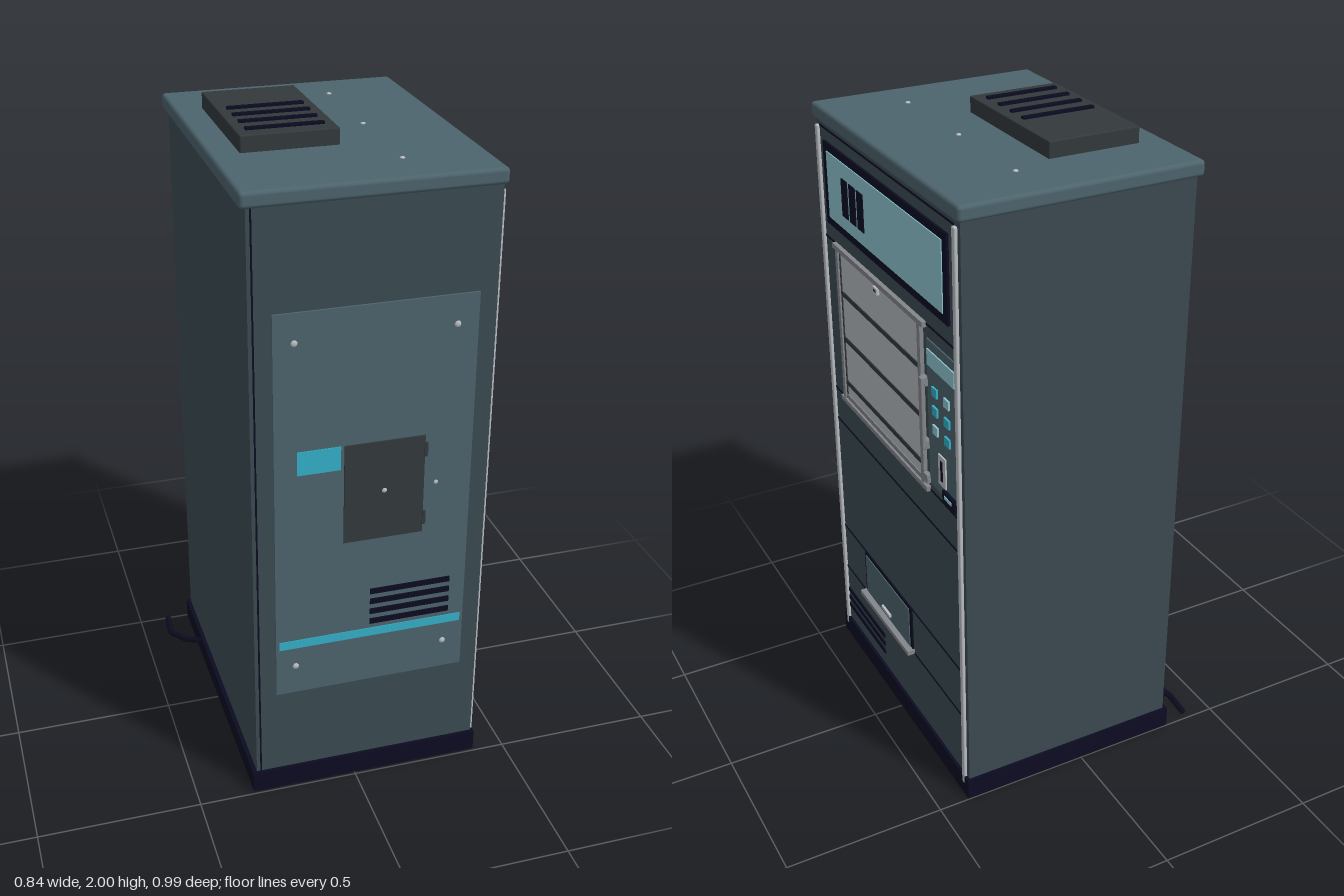
import * as THREE from 'three';
import { RoundedBoxGeometry } from 'three/addons/geometries/RoundedBoxGeometry.js';

const paint = (name, color) => {
  const m = new THREE.MeshStandardMaterial({ color });
  m.name = name;
  return m;
};

export function createModel() {
  const root = new THREE.Group();
  root.name = 'vendingMachine';
  const M = {
    body: paint('slate body', 0x3b4a51),
    panel: paint('teal grey panel', 0x4d646d),
    navy: paint('near black navy', 0x0c0c22),
    charcoal: paint('charcoal', 0x33393c),
    steel: paint('light steel', 0xb9bdc1),
    pane: paint('silver pane', 0xb4babf),
    grey: paint('mid grey trim', 0x82868a),
    sign: paint('pale cyan', 0x8cc6d0),
    cyan: paint('bright cyan', 0x35b1c9),
  };

  // Box given by its limits on each axis; rounded when r is set
  const box = (name, mat, [x0, x1], [y0, y1], [z0, z1], parent = root, r = 0) => {
    const s = [x1 - x0, y1 - y0, z1 - z0];
    const g = r ? new RoundedBoxGeometry(...s, 3, r) : new THREE.BoxGeometry(...s);
    const m = new THREE.Mesh(g, mat);
    m.position.set((x0 + x1) / 2, (y0 + y1) / 2, (z0 + z1) / 2);
    m.name = name;
    parent.add(m);
    return m;
  };
  const group = (name) => {
    const g = new THREE.Group();
    g.name = name;
    root.add(g);
    return g;
  };
  // Small domed rivet whose axis points along x, y or z
  const rivet = (x, y, z, axis, parent, r = 0.008) => {
    const m = new THREE.Mesh(new THREE.SphereGeometry(r, 10, 6), M.steel);
    m.scale[axis] = 0.5;
    m.position.set(x, y, z);
    m.name = 'rivet';
    parent.add(m);
  };

  // Cabinet, plinth and lid
  box('cabinet', M.body, [-0.315, 0.393], [0.06, 1.91], [-0.488, 0.48]);
  box('plinth', M.navy, [-0.328, 0.402], [0, 0.07], [-0.497, 0.49]);
  box('lid', M.panel, [-0.333, 0.405], [1.898, 1.945], [-0.5, 0.49], root, 0.012);
  box('cornerSeam', M.navy, [-0.304, -0.299], [0.07, 1.898], [0.479, 0.4815]);

  // Roof vent housing with slots
  const roof = group('roofVent');
  box('ventHousing', M.charcoal, [-0.25, 0.034], [1.94, 1.993], [-0.298, 0.17], roof, 0.004);
  for (const z of [-0.095, -0.025, 0.045, 0.117])
    box('roofSlot', M.navy, [-0.222, 0.004], [1.99, 2.0], [z - 0.008, z + 0.008], roof);
  for (const z of [-0.34, -0.005, 0.333]) rivet(0.157, 1.946, z, 'y', root);

  // Service panel on the side
  const side = group('servicePanel');
  box('panelPlate', M.panel, [-0.25, 0.34], [0.355, 1.6], [0.479, 0.486], side);
  box('serviceDoor', M.charcoal, [-0.045, 0.195], [0.862, 1.18], [0.484, 0.491], side);
  box('label', M.cyan, [-0.183, -0.055], [1.105, 1.18], [0.484, 0.488], side);
  box('stripe', M.cyan, [-0.24, 0.33], [0.517, 0.545], [0.484, 0.488], side);
  for (let i = 0; i < 4; i++) {
    const y = 0.57 + i * 0.0355;
    box('sideSlot', M.navy, [0.04, 0.29], [y - 0.009, y + 0.009], [0.484, 0.49], side);
  }
  for (const y of [0.91, 1.135])
    box('doorHinge', M.charcoal, [0.193, 0.203], [y - 0.022, y + 0.022], [0.484, 0.494], side);
  for (const x of [-0.19, 0.277]) for (const y of [0.452, 1.512]) rivet(x, y, 0.487, 'z', side, 0.01);
  rivet(0.075, 1.02, 0.491, 'z', side);
  rivet(0.233, 1.02, 0.487, 'z', side, 0.007);

  // Corner posts and panel seams on the vending face
  const face = group('vendingFace');
  for (const z of [-0.463, 0.463])
    box('cornerPost', M.steel, [0.388, 0.403], [0.04, 1.88], [z - 0.009, z + 0.009], face, 0.004);
  for (const y of [1.882, 1.53, 1.0, 0.885, 0.46, 0.29])
    box('seam', M.navy, [0.39, 0.395], [y - 0.003, y + 0.003], [-0.454, 0.454], face);

  // Lit header sign with three dark bars
  const header = group('headerSign');
  box('signFrame', M.navy, [0.388, 0.4], [1.585, 1.845], [-0.42, 0.42], header);
  box('signPanel', M.sign, [0.395, 0.403], [1.612, 1.82], [-0.393, 0.39], header);
  for (const z of [0.255, 0.197, 0.14])
    box('signBar', M.navy, [0.4, 0.4055], [1.655, 1.772], [z - 0.022, z + 0.022], header);

  // Product window with shelves and frame
  const win = group('productWindow');
  box('windowPane', M.pane, [0.388, 0.397], [1.0, 1.53], [-0.24, 0.355], win);
  for (const y of [1.07, 1.225, 1.38])
    box('shelf', M.charcoal, [0.395, 0.4], [y - 0.008, y + 0.008], [-0.226, 0.338], win);
  for (const y of [1.003, 1.527])
    box('frameRail', M.grey, [0.39, 0.407], [y - 0.008, y + 0.008], [-0.268, 0.375], win);
  for (const [z0, z1] of [[0.342, 0.36], [-0.247, -0.228]])
    box('frameStile', M.grey, [0.39, 0.405], [1.003, 1.527], [z0, z1], win);
  for (const z of [0.338, -0.224])
    box('frameShadowLine', M.charcoal, [0.395, 0.4], [1.01, 1.52], [z - 0.003, z + 0.003], win);
  box('frameFoot', M.grey, [0.394, 0.4], [1.011, 1.027], [-0.226, 0.338], win);
  box('windowLatch', M.steel, [0.395, 0.406], [1.49, 1.51], [0.043, 0.072], win);
  box('latchCentre', M.charcoal, [0.405, 0.4065], [1.496, 1.504], [0.05, 0.065], win);
  box('doorHandle', M.grey, [0.405, 0.418], [1.14, 1.37], [-0.274, -0.256], win, 0.004);
  for (const y of [1.04, 1.155, 1.355])
    box('handleMount', M.grey, [0.39, 0.408], [y - 0.013, y + 0.013], [-0.276, -0.25], win);

  // Payment and selection panel
  const pay = group('paymentPanel');
  box('paymentPlate', M.panel, [0.388, 0.397], [1.025, 1.49], [-0.453, -0.27], pay, 0.003);
  box('display', M.sign, [0.393, 0.401], [1.413, 1.462], [-0.449, -0.28], pay);
  [1.345, 1.285, 1.225].forEach((y, row) => [-0.325, -0.4].forEach((z, col) =>
    box('button', row + col === 1 && row === 0 || row === 2 && col === 0 ? M.sign : M.cyan,
      [0.393, 0.403], [y - 0.014, y + 0.014], [z - 0.015, z + 0.015], pay)));
  box('coinPlate', M.steel, [0.393, 0.402], [1.063, 1.16], [-0.385, -0.34], pay);
  box('coinSlot', M.navy, [0.4, 0.4035], [1.08, 1.145], [-0.369, -0.356], pay);
  box('returnTray', M.navy, [0.39, 0.406], [1.018, 1.058], [-0.448, -0.37], pay);
  box('trayLip', M.sign, [0.404, 0.408], [1.036, 1.047], [-0.43, -0.385], pay);

  // Delivery hatch
  const hatch = group('deliveryHatch');
  box('hatchFrame', M.navy, [0.388, 0.397], [0.295, 0.462], [-0.098, 0.275], hatch);
  box('hatchFlap', M.panel, [0.393, 0.4], [0.305, 0.45], [-0.08, 0.262], hatch);
  box('hatchSill', M.grey, [0.39, 0.418], [0.288, 0.303], [-0.104, 0.28], hatch);
  box('hatchPull', M.steel, [0.398, 0.408], [0.326, 0.336], [0.06, 0.126], hatch);

  // Lower intake slots
  for (const y of [0.127, 0.16, 0.193])
    box('intakeSlot', M.navy, [0.39, 0.397], [y - 0.008, y + 0.008], [0.14, 0.45], face);

  // Power cable trailing behind
  const path = new THREE.CurvePath();
  const pts = [[-0.31, 0.055, -0.25], [-0.37, 0.03, -0.31], [-0.411, 0.013, -0.39], [-0.403, 0.013, -0.482]]
    .map((p) => new THREE.Vector3(...p));
  for (let i = 0; i < 3; i++) path.add(new THREE.LineCurve3(pts[i], pts[i + 1]));
  const cable = new THREE.Mesh(new THREE.TubeGeometry(path, 24, 0.01, 8), M.navy);
  cable.name = 'powerCable';
  root.add(cable);
  const tip = new THREE.Mesh(new THREE.CircleGeometry(0.01, 8), M.navy);
  tip.position.copy(pts[3]);
  tip.rotation.y = Math.PI;
  tip.name = 'cableEnd';
  root.add(tip);

  return root;
}
